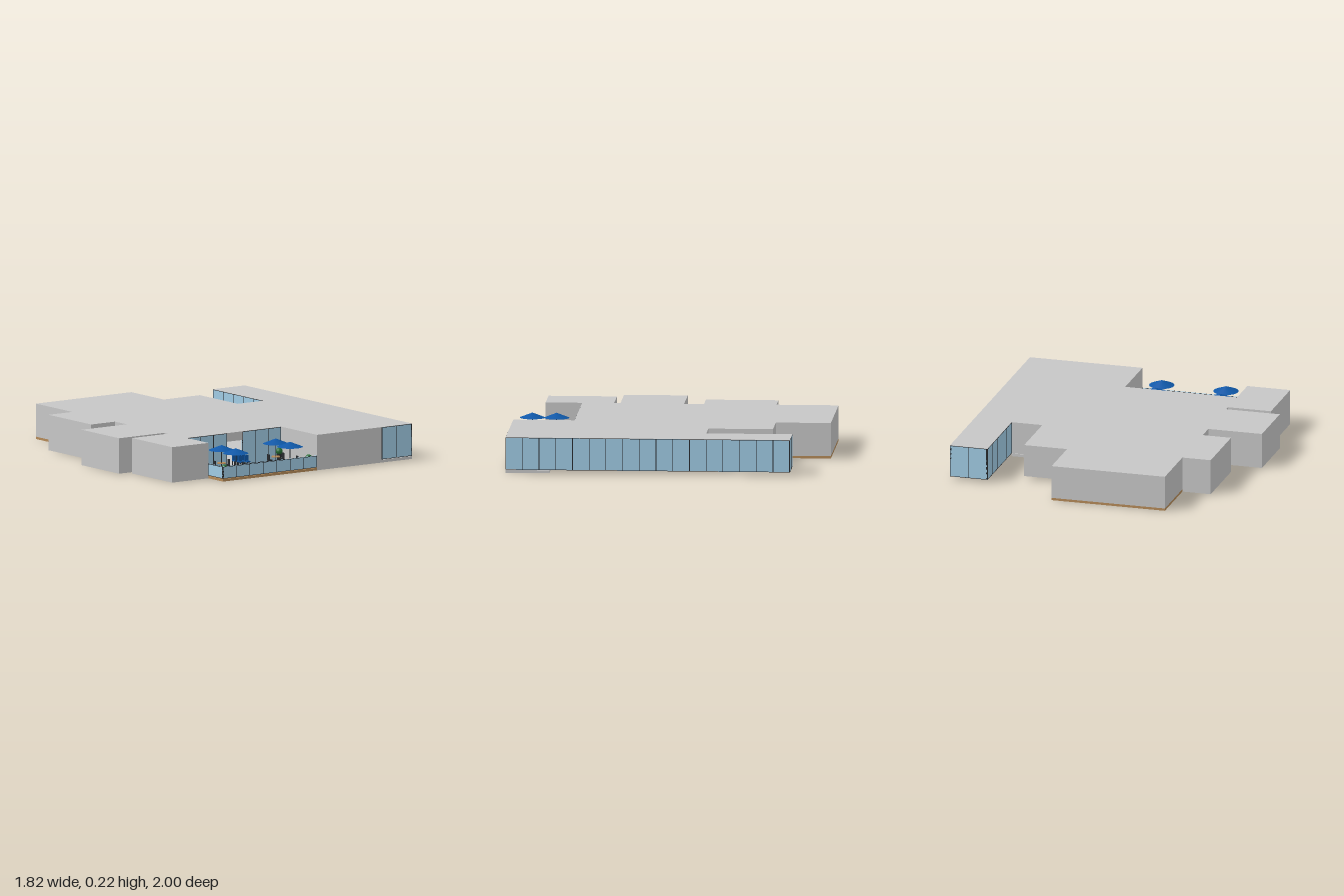
import * as THREE from 'three';

const mat = (name, color, double) => {
  const m = new THREE.MeshStandardMaterial({ color });
  m.name = name;
  if (double) m.side = THREE.DoubleSide;
  return m;
};

export function createModel() {
  const concrete = mat('concrete', 0xc6c6c6);
  const glass = mat('paleBlueGlass', 0xa0cbe4);
  const frame = mat('darkFrame', 0x26292c);
  const wood = mat('woodDeck', 0xb58a58);
  const blue = mat('blueFabric', 0x0f58a8, true);
  const green = mat('plantGreen', 0x226b30);
  const doorGrey = mat('doorGrey', 0x6a757b);

  const model = new THREE.Group();
  model.name = 'building';
  const TOP = 0.225, FRONT = 0.995;

  const add = (parent, name, geo, material, x = 0, y = 0, z = 0) => {
    const m = new THREE.Mesh(geo, material);
    m.name = name;
    m.position.set(x, y, z);
    parent.add(m);
    return m;
  };
  const box = (parent, name, material, x0, x1, y0, y1, z0, z1) =>
    add(parent, name, new THREE.BoxGeometry(x1 - x0, y1 - y0, z1 - z0), material,
      (x0 + x1) / 2, (y0 + y1) / 2, (z0 + z1) / 2);

  // Flat slab from a plan outline of [x, z] corners
  const slab = (name, pts, y0, y1, material) => {
    const shape = new THREE.Shape(pts.map(([x, z]) => new THREE.Vector2(x, -z)));
    const geo = new THREE.ExtrudeGeometry(shape, { depth: y1 - y0, bevelEnabled: false });
    geo.rotateX(-Math.PI / 2);
    add(model, name, geo, material, 0, y0, 0);
  };

  // Straight wall whose outer face runs from a to b; panels > 0 adds a dark frame
  const wall = (name, a, b, y0, y1, material, panels = 0) => {
    const g = new THREE.Group();
    g.name = name;
    const dx = b[0] - a[0], dz = b[1] - a[1], len = Math.hypot(dx, dz);
    g.position.set(a[0], 0, a[1]);
    g.rotation.y = -Math.atan2(dz, dx);
    box(g, name + 'Panel', material, 0, len, y0, y1, 0, 0.008);
    if (panels) {
      for (let i = 0; i <= panels; i++) {
        const x = Math.min(Math.max(len * i / panels, 0.002), len - 0.002);
        box(g, 'mullion', frame, x - 0.002, x + 0.002, y0, y1, -0.001, 0.009);
      }
      for (const y of [y0, y1 - 0.003])
        box(g, 'rail', frame, 0, len, y, y + 0.003, -0.001, 0.009);
    }
    model.add(g);
  };

  // Outline corners: x, z, then base height and glass panel count of the wall that follows
  const outline = [
    [-0.56, -1, 0.015, 0], [0.18, -1, 0.015, 0], [0.18, -0.655, 0.02, 0], [0.46, -0.655, 0.02, 0],
    [0.46, -0.25, 0.02, 0], [0.66, -0.25, 0.02, 5], [0.66, -0.79, 0.02, 2], [0.905, -0.79, 0.02, 17],
    [0.905, FRONT, 0.02, 2], [0.67, FRONT, 0, 0], [0.17, FRONT, 0.015, 0], [0.17, 0.61, -1, 0],
    [-0.56, 0.61, 0.015, 0], [-0.56, 0.84, 0, 0], [-0.84, 0.84, 0, 0], [-0.84, 0.41, 0, 0],
    [-0.56, 0.41, 0, 0], [-0.56, 0.37, 0, 0], [-0.91, 0.37, 0, 0], [-0.91, -0.03, 0, 0],
    [-0.56, -0.03, 0, 0], [-0.56, -0.155, 0, 0], [-0.745, -0.155, 0, 0], [-0.745, -0.61, 0, 0],
    [-0.56, -0.61, 0.015, 0],
  ];
  slab('roof', outline, TOP - 0.0015, TOP, concrete);
  outline.forEach((p, i) => {
    const q = outline[(i + 1) % outline.length];
    if (p[2] >= 0) wall(p[3] ? 'glassWall' : 'outerWall', p, q, p[2], TOP - 0.0015, p[3] ? glass : concrete, p[3]);
  });

  // Ground floor slabs and timber floors
  slab('groundFloor', [
    [-0.56, -0.17], [0.18, -0.17], [0.18, -0.33], [0.46, -0.33], [0.46, -0.25], [0.66, -0.25],
    [0.66, 0.72], [0.905, 0.72], [0.905, FRONT], [0.17, FRONT], [0.17, 0.61], [-0.56, 0.61],
  ], 0, 0.018, concrete);
  box(model, 'terraceDeck', wood, -0.56, 0.17, 0, 0.015, 0.61, FRONT);
  box(model, 'backRoomFloor', wood, -0.56, 0.18, 0, 0.015, -1, -0.17);

  // Terrace rear glazing with an open doorway, and the inner glass partition
  wall('terraceGlazing', [0.17, 0.61], [-0.13, 0.61], 0.015, TOP - 0.0015, glass, 3);
  wall('terraceGlazing', [-0.25, 0.61], [-0.56, 0.61], 0.015, TOP - 0.0015, glass, 3);
  box(model, 'doorHeader', concrete, -0.25, -0.13, 0.17, TOP - 0.0015, 0.602, 0.61);
  wall('innerPartition', [0.18, -0.16], [-0.14, -0.16], 0.018, TOP - 0.0015, glass, 3);
  wall('innerPartition', [-0.24, -0.16], [-0.56, -0.16], 0.018, TOP - 0.0015, glass, 3);
  box(model, 'innerDoor', doorGrey, -0.25, -0.13, 0.018, 0.17, -0.18, -0.172);
  box(model, 'sideDoor', wood, 0.176, 0.184, 0.015, 0.16, -0.42, -0.34);

  // Terrace balustrade
  wall('frontBalustrade', [0.17, FRONT], [-0.56, FRONT], 0.018, 0.093, glass, 7);
  wall('sideBalustrade', [-0.56, FRONT], [-0.56, 0.84], 0.018, 0.093, glass, 1);

  // Chair facing +z, standing on the deck
  const chair = (parent, x, z, turn, material) => {
    const g = new THREE.Group();
    g.name = 'chair';
    g.position.set(x, 0.015, z);
    g.rotation.y = turn;
    box(g, 'seat', material, -0.013, 0.013, 0.034, 0.04, -0.012, 0.012);
    box(g, 'backrest', material, -0.013, 0.013, 0.04, 0.075, -0.013, -0.009);
    for (const sx of [-1, 1]) for (const sz of [-1, 1])
      box(g, 'leg', frame, sx * 0.011 - 0.0015, sx * 0.011 + 0.0015, 0, 0.034, sz * 0.01 - 0.0015, sz * 0.01 + 0.0015);
    parent.add(g);
  };

  // Parasols with a round table and chairs below
  for (const x of [-0.4, 0.02]) for (const z of [0.76, 0.912]) {
    const g = new THREE.Group();
    g.name = 'parasolTable';
    g.position.set(x, 0, z);
    add(g, 'canopy', new THREE.ConeGeometry(0.08, 0.032, 20), blue, 0, 0.169, 0);
    add(g, 'pole', new THREE.CylinderGeometry(0.003, 0.003, 0.14, 8), frame, 0, 0.085, 0);
    add(g, 'tableTop', new THREE.CylinderGeometry(0.028, 0.028, 0.005, 16), wood, 0, 0.07, 0);
    for (const s of [-1, 1]) chair(g, s * 0.045, 0, -s * Math.PI / 2, frame);
    model.add(g);
  }

  // Two rows of blue chairs by the doorway
  for (const x of [-0.215, -0.167]) for (let i = 0; i < 3; i++)
    chair(model, x, 0.648 + i * 0.034, 0, blue);

  // Corner planters
  for (const x of [-0.52, 0.133]) for (const z of [0.64, 0.955]) {
    add(model, 'planterPot', new THREE.CylinderGeometry(0.016, 0.012, 0.05, 12), frame, x, 0.04, z);
    add(model, 'planterShrub', new THREE.SphereGeometry(0.022, 12, 8), green, x, 0.077, z);
  }
  return model;
}
